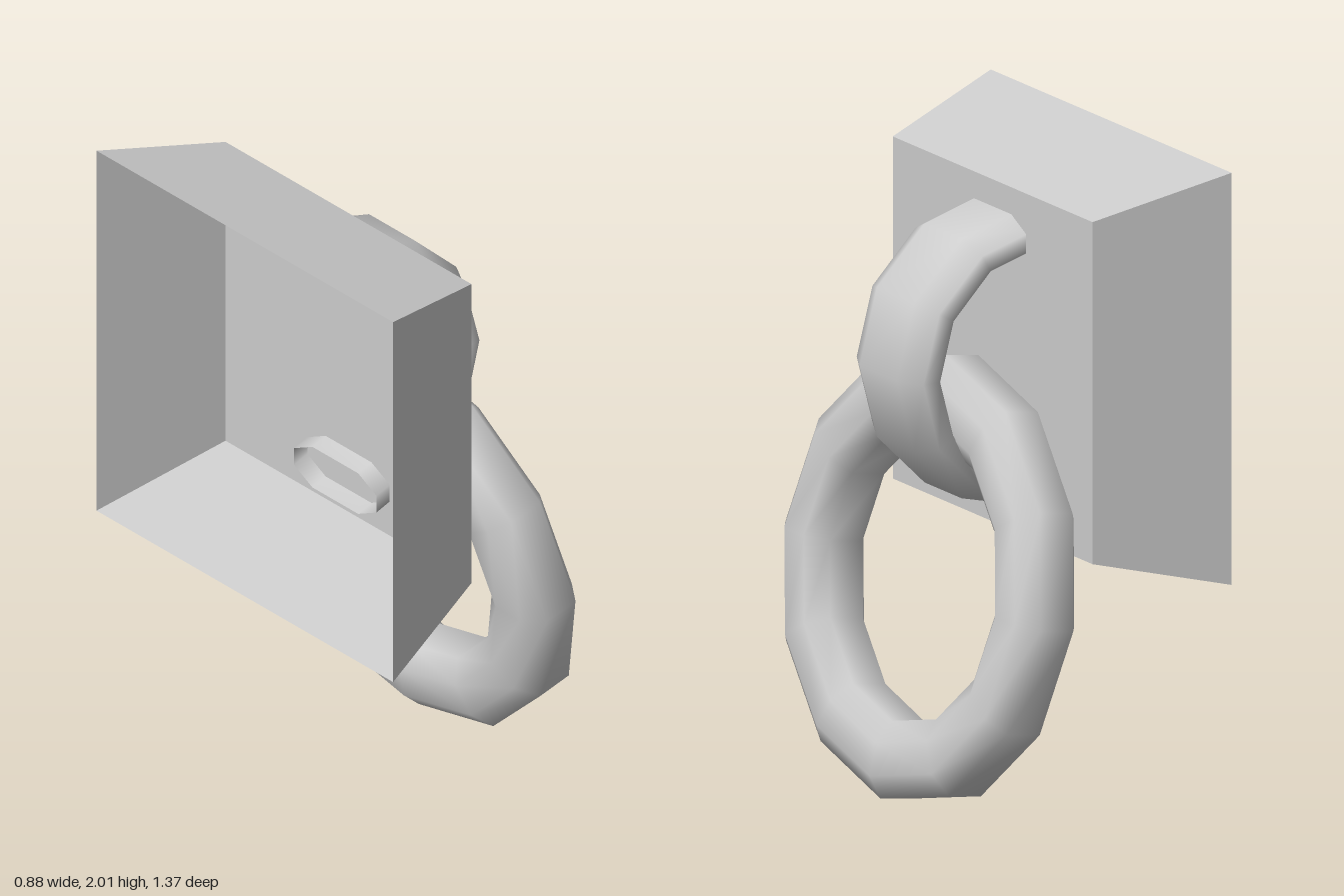
import * as THREE from 'three';
import { mergeVertices } from 'three/addons/utils/BufferGeometryUtils.js';

const material = new THREE.MeshStandardMaterial({ color: 0xcccccc, side: THREE.DoubleSide });

// Smooth low-poly ring around y: an octagon section swept along an arc.
// r, w: half sizes of the section; rIn, wIn: where its corners are cut.
function ringGeometry(radius, r, rIn, w, wIn, segments, arc) {
  const section = [
    [r, -wIn], [r, wIn], [rIn, w], [-rIn, w],
    [-r, wIn], [-r, -wIn], [-rIn, -w], [rIn, -w], [r, -wIn],
  ].map(([a, b]) => new THREE.Vector2(radius + a, b));
  let g = new THREE.LatheGeometry(section, segments, 0, arc);
  g.deleteAttribute('normal');
  g.deleteAttribute('uv');
  g = mergeVertices(g, 1e-4);
  g.computeVertexNormals();
  return g;
}

// Hollow tapered block, open at the back (-x)
function plateGeometry() {
  const g = new THREE.BoxGeometry(0.43, 1.295, 1.296);
  const p = g.attributes.position;
  for (let i = 0; i < p.count; i++) {
    if (p.getX(i) > 0) {
      p.setY(i, Math.sign(p.getY(i)) * 0.5375);
      p.setZ(i, Math.sign(p.getZ(i)) * 0.5375);
    }
  }
  const index = Array.from(g.index.array);
  index.splice(6, 6); // drop the back face
  g.setIndex(index);
  g.computeVertexNormals();
  return g;
}

export function createModel() {
  const group = new THREE.Group();
  const add = (name, geometry, x, y) => {
    const mesh = new THREE.Mesh(geometry, material);
    mesh.name = name;
    mesh.position.set(x, y, 0);
    group.add(mesh);
    return mesh;
  };

  // Wall mount
  add('wallPlate', plateGeometry(), -0.225, 1.3525);

  // Wide half ring, its open ends passing through the plate
  const bracket = ringGeometry(0.397, 0.073, 0.03, 0.18, 0.1, 6, Math.PI);
  bracket.rotateX(Math.PI / 2);
  add('bracketLoop', bracket, -0.065, 1.35);

  // Hanging ring, leaning outward at the bottom
  const ring = ringGeometry(0.567, 0.12, 0.052, 0.11, 0.06, 12, Math.PI * 2);
  ring.rotateZ(THREE.MathUtils.degToRad(-80));
  add('hangingRing', ring, 0.22, 0.68);

  return group;
}
